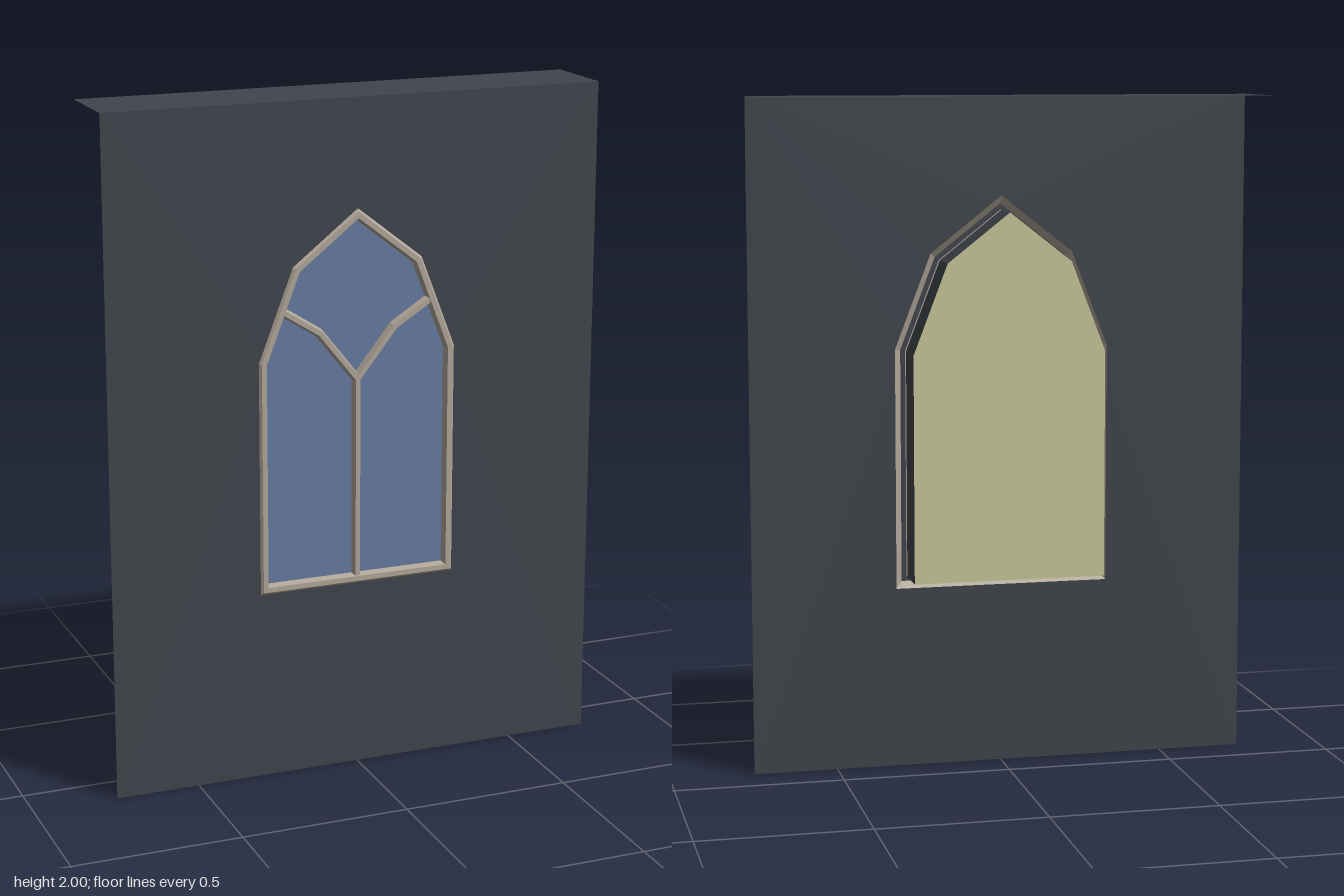
import * as THREE from 'three';

const material = (name, color) => {
  const m = new THREE.MeshStandardMaterial({ color, side: THREE.DoubleSide, flatShading: true });
  m.name = name;
  return m;
};

// Sweeps a profile of [offset, z] points along a flat path with mitred corners.
function sweep(path, profile, closed) {
  const n = path.length;
  const pts = path.map(([x, y]) => new THREE.Vector2(x, y));
  const normal = (i) => {
    const d = pts[(i + 1) % n].clone().sub(pts[i]).normalize();
    return new THREE.Vector2(d.y, -d.x);
  };
  const rings = pts.map((p, i) => {
    const a = normal(closed ? (i + n - 1) % n : Math.max(i - 1, 0));
    const b = normal(closed ? i : Math.min(i, n - 2));
    const miter = a.clone().add(b).divideScalar(1 + a.dot(b));
    return profile.map(([o, z]) => [p.x + miter.x * o, p.y + miter.y * o, z]);
  });
  const pos = [];
  for (let i = 0; i < (closed ? n : n - 1); i++) {
    const r = rings[i], s = rings[(i + 1) % n];
    for (let j = 0; j < profile.length - 1; j++) {
      pos.push(...r[j], ...s[j], ...s[j + 1], ...r[j], ...s[j + 1], ...r[j + 1]);
    }
  }
  const g = new THREE.BufferGeometry();
  g.setAttribute('position', new THREE.Float32BufferAttribute(pos, 3));
  g.computeVertexNormals();
  return g;
}

export function createModel() {
  const group = new THREE.Group();
  const stone = material('dark stone', 0x40454c);
  const trim = material('pale trim', 0xb0a698);
  const blue = material('blue glass', 0x667aa0);
  const glow = material('yellow glass', 0xcac99b);
  const add = (name, geometry, mat, z = 0) => {
    const mesh = new THREE.Mesh(geometry, mat);
    mesh.name = name;
    mesh.position.z = z;
    group.add(mesh);
    return mesh;
  };

  // Pointed window outline, counterclockwise
  const outline = [[-0.287, 0.58], [0.287, 0.58], [0.287, 1.255], [0.185, 1.52],
    [0, 1.665], [-0.185, 1.52], [-0.287, 1.255]];
  const points = outline.map(([x, y]) => new THREE.Vector2(x, y));
  const arch = new THREE.Shape(points);

  // Single-sheet wall with an arched opening, and the ledge running back from its top
  const sheet = new THREE.Shape([[-0.75, 0], [0.75, 0], [0.75, 2], [-0.75, 2]]
    .map(([x, y]) => new THREE.Vector2(x, y)));
  sheet.holes.push(new THREE.Path(points.slice().reverse()));
  add('wall', new THREE.ShapeGeometry(sheet), stone, 0.12);
  const ledge = add('wallTop', new THREE.PlaneGeometry(1.5, 0.248).rotateX(-Math.PI / 2), stone, -0.004);
  ledge.position.y = 2;

  // Window body: blue outer pane, dark sides, yellow inner pane
  add('outerPane', new THREE.ShapeGeometry(arch), blue, 0.105);
  add('windowSides', sweep(outline, [[0, 0.105], [0, -0.01]], true), stone);
  add('innerPane', new THREE.ShapeGeometry(arch).rotateY(Math.PI), glow, -0.01);

  // Bevelled frame around the opening
  add('windowFrame', sweep(outline,
    [[0.034, 0.1], [0.008, 0.127], [-0.007, 0.127], [-0.013, 0.105]], true), trim);

  // Upright bar and the forked bars above it
  const bar = [[0.013, 0.105], [0.007, 0.124], [-0.007, 0.124], [-0.013, 0.105]];
  add('uprightBar', sweep([[0, 0.58], [0, 1.185]], bar, false), trim);
  add('forkedBars', sweep([[-0.225, 1.4], [-0.115, 1.33], [0, 1.185], [0.115, 1.33], [0.225, 1.4]],
    bar, false), trim);

  return group;
}
